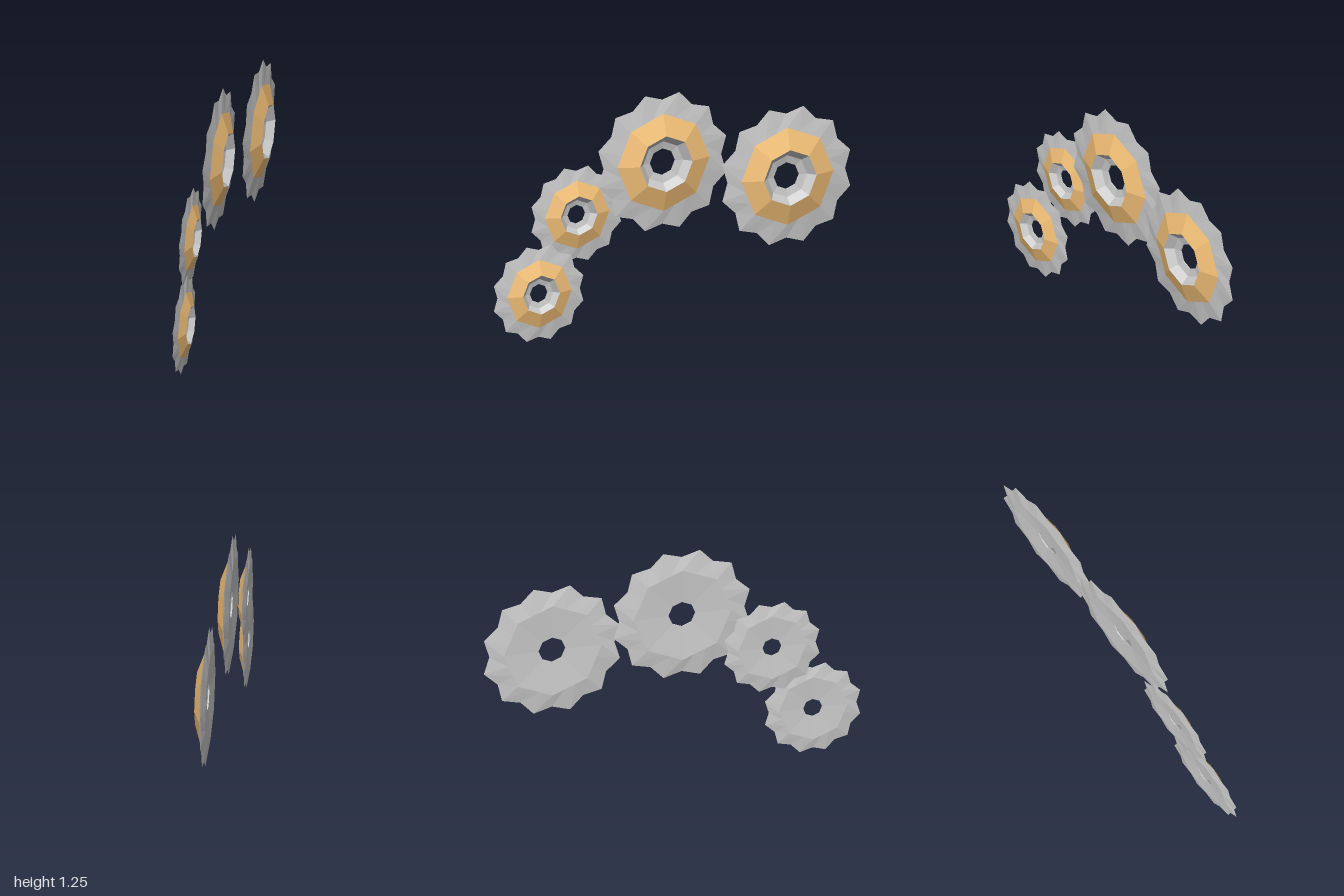
import * as THREE from 'three';

const SEGMENTS = 24;
const grey = new THREE.MeshStandardMaterial({ color: 0xcccccc, flatShading: true });
const gold = new THREE.MeshStandardMaterial({ color: 0xf8c47a, flatShading: true });

// Radius rules: scalloped rim with twelve petals, and eight-sided rings
const petals = (i) => (i % 2 ? 0.377 : 0.335);
const octagon = (r) => (i) => {
  const angle = ((i % 3) * Math.PI) / 12 - Math.PI / 8;
  return (r * Math.cos(Math.PI / 8)) / Math.cos(angle);
};

// Skin a list of rings [radius rule, x] around the x axis
function skin(rings) {
  const positions = [];
  const index = [];
  for (const [radius, x] of rings) {
    for (let i = 0; i < SEGMENTS; i++) {
      const a = (i / SEGMENTS) * Math.PI * 2;
      positions.push(x, radius(i) * Math.sin(a), -radius(i) * Math.cos(a));
    }
  }
  for (let r = 0; r < rings.length - 1; r++) {
    for (let i = 0; i < SEGMENTS; i++) {
      const j = (i + 1) % SEGMENTS;
      const a = r * SEGMENTS + i, b = r * SEGMENTS + j;
      const c = a + SEGMENTS, d = b + SEGMENTS;
      index.push(a, b, d, a, d, c);
    }
  }
  const geometry = new THREE.BufferGeometry();
  geometry.setAttribute('position', new THREE.Float32BufferAttribute(positions, 3));
  geometry.setIndex(index);
  geometry.computeVertexNormals();
  return geometry;
}

function part(name, rings, material) {
  const mesh = new THREE.Mesh(skin(rings), material);
  mesh.name = name;
  return mesh;
}

// One scalloped disc facing +x; rings run from outside to inside on the front
function createDisc() {
  const disc = new THREE.Group();
  const bore = [octagon(0.072), 0.003];
  disc.add(
    part('petalFront', [[petals, 0], [octagon(0.262), 0.0155]], grey),
    part('goldCollar', [[octagon(0.262), 0.0155], [octagon(0.15), 0.053]], gold),
    part('socket', [[octagon(0.15), 0.053], [octagon(0.113), 0.012], bore], grey),
    part('dishedBack', [bore, [octagon(0.072), -0.004], [octagon(0.262), -0.016], [petals, 0]], grey),
  );
  return disc;
}

export function createModel() {
  const model = new THREE.Group();
  model.name = 'discChain';
  // Name, x, y, z, scale
  const placements = [
    ['lowerSmallDisc', -0.047, 0.26, 0.745, 0.7],
    ['upperSmallDisc', -0.066, 0.655, 0.522, 0.7],
    ['middleLargeDisc', -0.027, 0.892, 0.05, 1],
    ['rearLargeDisc', 0.025, 0.748, -0.632, 1],
  ];
  for (const [name, x, y, z, scale] of placements) {
    const disc = createDisc();
    disc.name = name;
    disc.position.set(x, y, z);
    disc.scale.setScalar(scale);
    model.add(disc);
  }
  return model;
}
